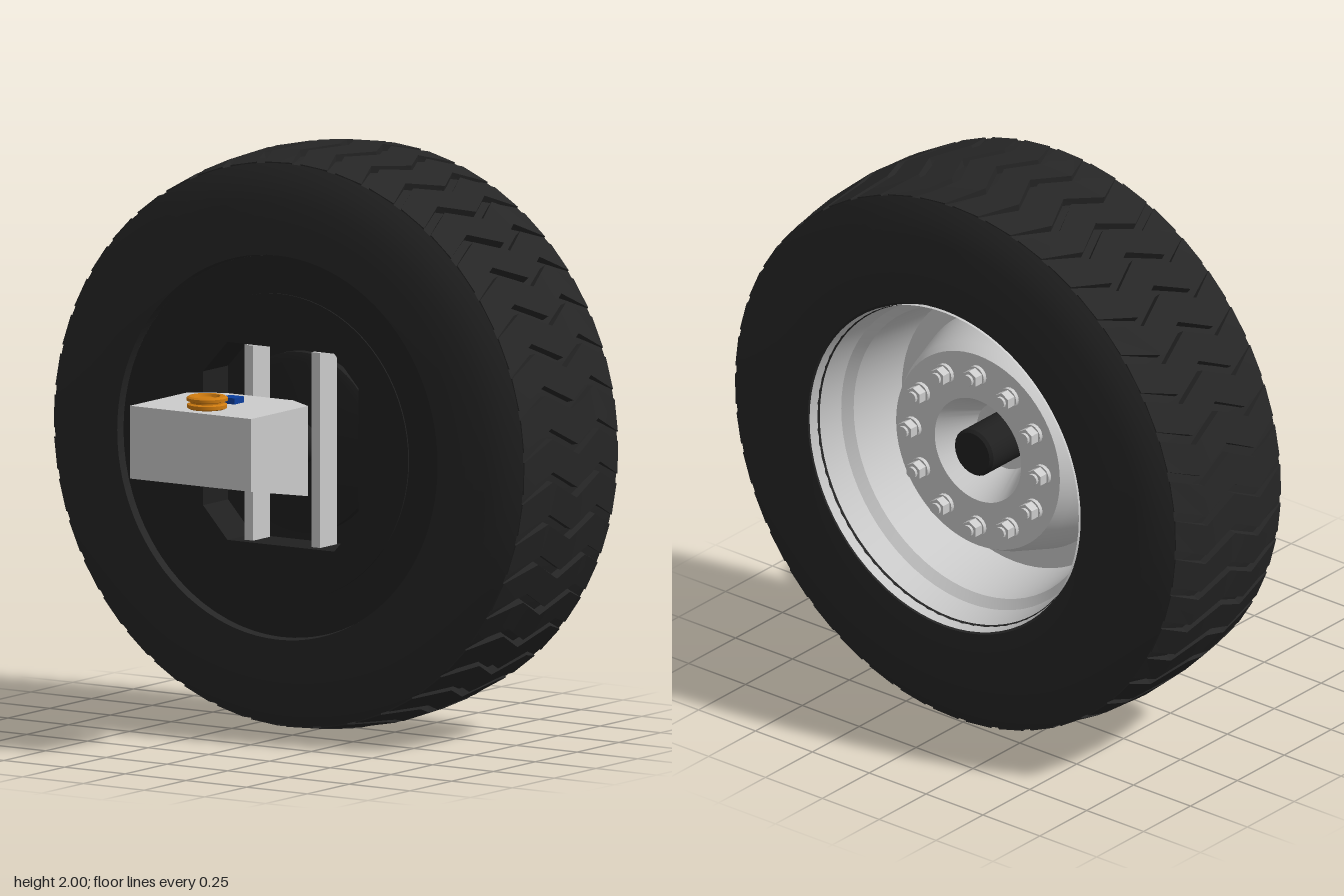
import * as THREE from 'three';
import { toCreasedNormals } from 'three/addons/utils/BufferGeometryUtils.js';

const mat = (color) => new THREE.MeshStandardMaterial({ color, side: THREE.DoubleSide });
const rubber = mat(0x262626), black = mat(0x202020), grey = mat(0xcccccc);
const orange = mat(0xd07c10), blue = mat(0x0c3f9f);
const CY = 1; // height of the wheel axis

function add(parent, name, geometry, material, x = 0, y = 0, z = 0) {
  const mesh = new THREE.Mesh(geometry, material);
  mesh.name = name;
  mesh.position.set(x, y, z);
  parent.add(mesh);
  return mesh;
}

// Lathe about the z axis from [radius, z] points
function latheZ(points, segments = 72, crease = 0.5) {
  const g = new THREE.LatheGeometry(points.map((p) => new THREE.Vector2(...p)), segments);
  return toCreasedNormals(g.rotateX(Math.PI / 2), crease);
}

function polygon(points) {
  return new THREE.Shape(points.map((p) => new THREE.Vector2(...p)));
}

// One zigzag tread bar for every pitch around the tyre
function treadGeometry(count) {
  // z, outer radius, sideways shift along the circumference
  const stations = [
    [-0.54, 0.97, -0.03], [-0.40, 0.992, 0.035], [-0.26, 1.0, -0.035],
    [-0.12, 0.992, 0.035], [0.02, 0.97, -0.03],
  ];
  const pitch = (Math.PI * 2) / count, half = pitch * 0.41;
  const pos = [], index = [];
  for (let i = 0; i < count; i++) {
    const start = pos.length / 3;
    for (const [z, r, shift] of stations) {
      const a = i * pitch + shift;
      const corners = [[r - 0.04, a - half], [r, a - half * 0.93], [r, a + half * 0.93], [r - 0.04, a + half]];
      for (const [cr, ca] of corners) pos.push(cr * Math.cos(ca), cr * Math.sin(ca), z);
    }
    for (let s = 0; s < stations.length - 1; s++) {
      for (let k = 0; k < 3; k++) {
        const p = start + s * 4 + k;
        index.push(p, p + 1, p + 5, p, p + 5, p + 4);
      }
    }
    const e = start + (stations.length - 1) * 4;
    index.push(start, start + 2, start + 1, start, start + 3, start + 2);
    index.push(e, e + 1, e + 2, e, e + 2, e + 3);
  }
  const g = new THREE.BufferGeometry();
  g.setAttribute('position', new THREE.Float32BufferAttribute(pos, 3));
  g.setIndex(index);
  return toCreasedNormals(g, 0.3);
}

function buildTyre() {
  const tyre = new THREE.Group();
  tyre.name = 'tyre';
  add(tyre, 'tyreBody', latheZ([
    [0.58, -0.56], [0.60, -0.6], [0.66, -0.61], [0.74, -0.605], [0.84, -0.59], [0.92, -0.565], [0.965, -0.54],
    [0.965, -0.5], [0.968, -0.40], [0.972, -0.26], [0.968, -0.12], [0.965, -0.02],
    [0.965, 0.02], [0.92, 0.045], [0.84, 0.07], [0.74, 0.085], [0.66, 0.09], [0.655, 0.06],
  ], 96, 0.6), rubber);
  add(tyre, 'tread', treadGeometry(42), rubber);
  return tyre;
}

function buildRim() {
  const rim = new THREE.Group();
  rim.name = 'rim';
  // Dished disc, bolt flange and central funnel, seen from the back
  add(rim, 'wheelDisc', latheZ([
    [0.08, -0.27], [0.12, -0.28], [0.19, -0.42], [0.36, -0.42], [0.38, -0.38],
    [0.43, -0.22], [0.50, -0.22], [0.53, -0.44], [0.56, -0.47], [0.592, -0.6],
  ], 72, 0.35), grey);
  const bolts = new THREE.Group();
  bolts.name = 'wheelBolts';
  for (let i = 0; i < 12; i++) {
    const a = (i / 12) * Math.PI * 2, x = 0.285 * Math.cos(a), y = 0.285 * Math.sin(a);
    const disc = (r, h, n) => new THREE.CylinderGeometry(r, r, h, n).rotateX(Math.PI / 2);
    add(bolts, 'washer', toCreasedNormals(disc(0.037, 0.014, 16), 0.6), grey, x, y, -0.427);
    add(bolts, 'nut', toCreasedNormals(disc(0.033, 0.035, 6), 0.6), grey, x, y, -0.45);
    add(bolts, 'stud', toCreasedNormals(disc(0.02, 0.012, 12), 0.6), grey, x, y, -0.472);
  }
  rim.add(bolts);
  add(rim, 'axleEnd', latheZ([[0, -0.45], [0.075, -0.45], [0.085, -0.44], [0.085, -0.15]], 24), black);
  return rim;
}

function buildFrontHousing() {
  const housing = new THREE.Group();
  housing.name = 'frontHousing';
  // Round cover with an eight-sided opening
  const cover = new THREE.Shape().absarc(0, 0, 0.525, 0, Math.PI * 2);
  const w = 0.32, h = 0.34, cx = 0.22, cy = 0.23;
  cover.holes.push(new THREE.Path([
    [-cx, h], [-w, cy], [-w, -cy], [-cx, -h], [cx, -h], [w, -cy], [w, cy], [cx, h],
  ].map((p) => new THREE.Vector2(...p))));
  add(housing, 'cover', toCreasedNormals(new THREE.ExtrudeGeometry(cover,
    { depth: 0.16, bevelEnabled: false, curveSegments: 40 }), 0.5), black, 0, 0, -0.09);
  add(housing, 'coverRim', latheZ([[0.66, -0.1], [0.655, 0.06], [0.52, 0.065], [0.52, -0.1]]), black);
  add(housing, 'backPlate', latheZ([[0.64, -0.1], [0.64, -0.08], [0, -0.08]]), black);
  add(housing, 'innerDrum', latheZ([[0.31, -0.08], [0.31, -0.05], [0.28, -0.04], [0, -0.04]], 48), black);
  for (const s of [-1, 1]) {
    add(housing, 'mountingBar', new THREE.BoxGeometry(0.035, 0.67, 0.1), grey, s * 0.138, 0, 0.01);
  }
  // Ribbed boot between the wheel and the box
  const boot = [[0.075, -0.05]];
  for (let i = 0; i < 5; i++) {
    const z = 0.07 + i * 0.027, r = 0.092 + i * 0.005;
    boot.push([r - 0.018, z], [r, z + 0.006], [r, z + 0.018], [r - 0.018, z + 0.024]);
  }
  boot.push([0.09, 0.21]);
  add(housing, 'boot', latheZ(boot, 32), black);
  return housing;
}

function buildGearbox() {
  const box = new THREE.Group();
  box.name = 'controlBox';
  // Plan outline raised into a block, then the underside is sloped towards the front
  const plan = polygon([[-0.25, -0.61], [0.25, -0.61], [0.25, -0.27], [0.14, -0.2], [-0.14, -0.2], [-0.25, -0.27]]);
  const body = new THREE.ExtrudeGeometry(plan, { depth: 0.31, bevelEnabled: false }).rotateX(-Math.PI / 2);
  const p = body.attributes.position;
  for (let i = 0; i < p.count; i++) {
    if (p.getY(i) < 0.01 && p.getZ(i) > 0.5) p.setY(i, 0.06);
  }
  body.computeVertexNormals();
  add(box, 'boxBody', body, grey, 0, 0.88, 0);

  // Stepped round cap with a central recess
  const cap = [[0.06, 0], [0.068, 0.004], [0.068, 0.016], [0.057, 0.02], [0.057, 0.025], [0.07, 0.029],
    [0.07, 0.039], [0.062, 0.044], [0.045, 0.044], [0.038, 0.03], [0.025, 0.03], [0.022, 0.038], [0, 0.038]];
  add(box, 'fillerCap', toCreasedNormals(new THREE.LatheGeometry(
    cap.map((q) => new THREE.Vector2(...q)), 32), 0.5), orange, 0, 1.19, 0.51);
  add(box, 'connector', new THREE.BoxGeometry(0.056, 0.022, 0.056), blue, 0, 1.2, 0.36);
  return box;
}

export function createModel() {
  const model = new THREE.Group();
  model.name = 'wheelWithControlBox';
  const wheel = new THREE.Group();
  wheel.name = 'wheel';
  wheel.position.y = CY;
  wheel.add(buildTyre(), buildRim(), buildFrontHousing());
  model.add(wheel, buildGearbox());
  return model;
}
